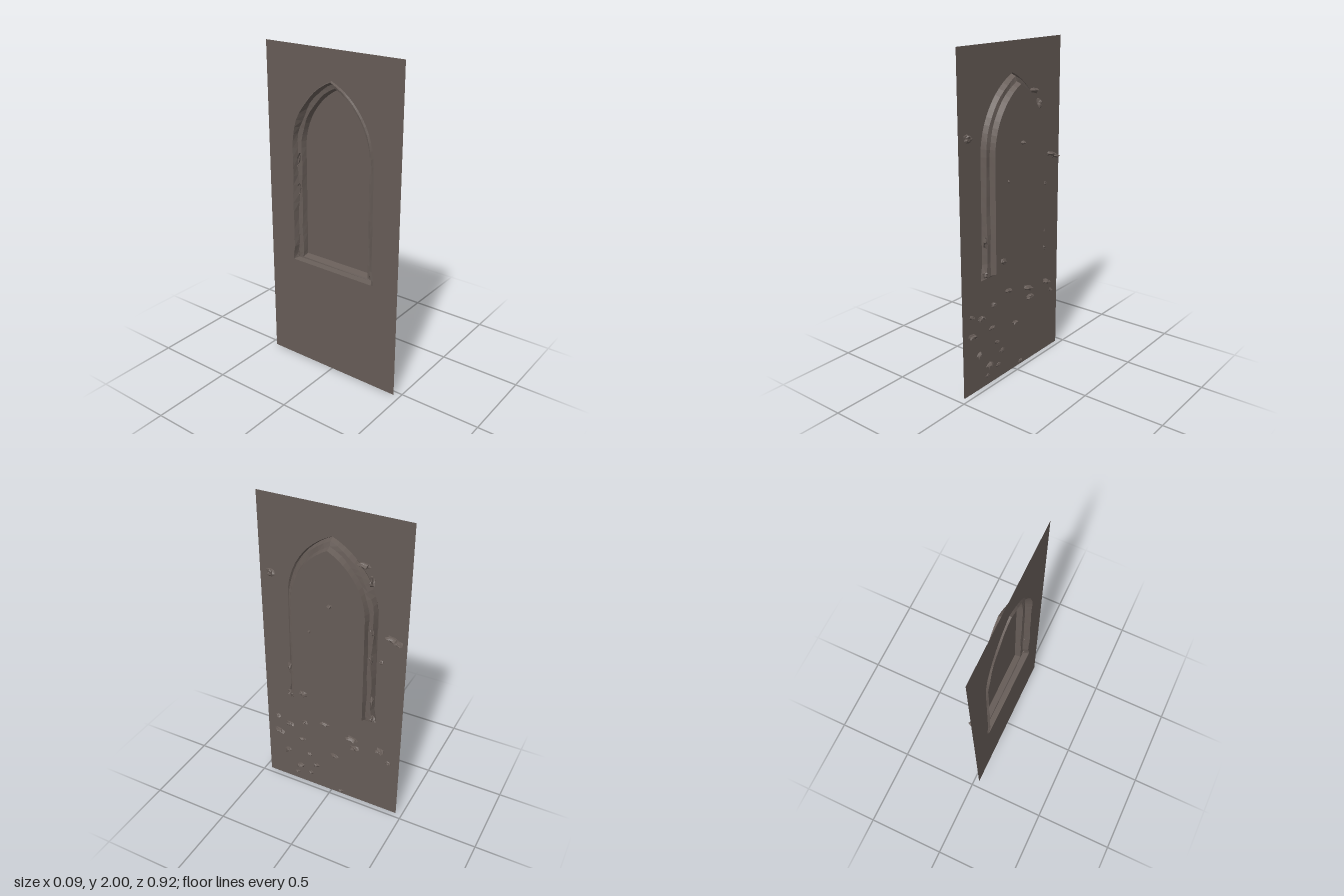
import * as THREE from 'three';

const stone = new THREE.MeshStandardMaterial({ color: 0x665c57, flatShading: true, side: THREE.DoubleSide });
stone.name = 'dark stone';

const WALL = -0.033, FACE = 0.027, SPRING = 1.4;

// Repeatable roughness in -1..1
const rough = (a, b) => Math.sin(a * 12.9 + b * 37.7) * Math.cos(a * 5.3 - b * 17.1);

// Pointed arch outline, from the bottom left corner round to the bottom right
function archOutline(halfWidth, apex, base, wear = 0, foot = 0) {
  const rise = apex - SPRING;
  const r = (halfWidth ** 2 + rise ** 2) / (2 * halfWidth);
  const end = Math.asin(rise / r);
  const side = [[halfWidth + foot, base], [halfWidth + foot, base + 0.03]];
  for (let i = 1; i <= 12; i++) side.push([halfWidth, base + 0.03 + (SPRING - base - 0.03) * i / 12]);
  for (let i = 1; i <= 12; i++) {
    const a = end * i / 12;
    side.push([r * Math.cos(a) - (r - halfWidth), SPRING + r * Math.sin(a)]);
  }
  const left = side.map(([u, v]) => new THREE.Vector2(-u, v));
  // The right jamb is more worn than the left one
  const right = side.slice(0, -1).reverse().map(([u, v], i) =>
    new THREE.Vector2(u + wear * rough(i, halfWidth * 40), v));
  return [...left, ...right];
}

// Rings from the wall opening, over the lip and ledge, to the raised face
const rings = [
  { x: WALL, pts: archOutline(0.283, 1.828, 0.683, 0, 0.012) },
  { x: -0.044, pts: archOutline(0.275, 1.823, 0.688, 0.004, 0.012) },
  { x: -0.010, pts: archOutline(0.262, 1.81, 0.696, 0.007, 0.008) },
  { x: -0.006, pts: archOutline(0.238, 1.782, 0.705, 0.004) },
  { x: FACE, pts: archOutline(0.229, 1.77, 0.718) },
];

// Skin between the rings, closed along the sill
function frameGeometry() {
  const n = rings[0].pts.length, pos = [], index = [];
  rings.forEach(({ x, pts }, k) => pts.forEach((p, i) => {
    const worn = k > 0 && k < rings.length - 1 ? 0.003 * rough(i, k) : 0;
    pos.push(p.x, p.y, x + worn);
  }));
  for (let k = 0; k < rings.length - 1; k++) {
    for (let i = 0; i < n; i++) {
      const j = (i + 1) % n;
      const a = k * n + i, b = k * n + j, c = a + n, d = b + n;
      index.push(a, c, b, b, c, d);
    }
  }
  const g = new THREE.BufferGeometry();
  g.setAttribute('position', new THREE.Float32BufferAttribute(pos, 3));
  g.setIndex(index);
  g.computeVertexNormals();
  return g;
}

// Rough open dome standing on a surface
function chipGeometry(seed) {
  const g = new THREE.SphereGeometry(1, 7, 3, 0, Math.PI * 2, 0, Math.PI / 2);
  g.rotateX(Math.PI / 2);
  const p = g.attributes.position;
  for (let i = 0; i < p.count; i++) {
    const x = p.getX(i), y = p.getY(i), z = p.getZ(i);
    const s = 1 + 0.4 * rough(Math.round(x * 50) / 50 + seed, Math.round(y * 50) / 50 + z);
    p.setXYZ(i, x * s, y * s, z * s);
  }
  g.computeVertexNormals();
  return g;
}

export function createModel() {
  const model = new THREE.Group();
  const panel = new THREE.Group();
  panel.name = 'archedWallPanel';
  panel.rotation.y = Math.PI / 2; // panel faces +x
  model.add(panel);

  const add = (geometry, name, depth = 0) => {
    const mesh = new THREE.Mesh(geometry, stone);
    mesh.name = name;
    mesh.position.z = depth;
    panel.add(mesh);
    return mesh;
  };

  // Wall sheet with the arched opening
  const wall = new THREE.Shape([[-0.46, 0], [0.46, 0], [0.46, 2], [-0.46, 2]].map(p => new THREE.Vector2(...p)));
  wall.holes.push(new THREE.Path(rings[0].pts));
  add(new THREE.ShapeGeometry(wall), 'wall', WALL);

  // Stepped frame and raised face
  add(frameGeometry(), 'archFrame');
  add(new THREE.ShapeGeometry(new THREE.Shape(rings[rings.length - 1].pts)), 'archFace', FACE);

  // Chips: z, y, half width, half height, thickness
  const addChips = (name, depth, list) => list.forEach(([z, y, w, h, t], i) => {
    const chip = add(chipGeometry(i * 1.7 + depth), name, depth);
    chip.position.x = -z;
    chip.position.y = y;
    chip.rotation.z = 0.35 * rough(i, 2);
    chip.scale.set(w, h, t);
  });

  addChips('wallChip', WALL, [
    [-0.19, 1.71, 0.035, 0.018, 0.03], [-0.37, 1.305, 0.04, 0.015, 0.03],
    [-0.41, 1.285, 0.03, 0.015, 0.03], [-0.31, 1.13, 0.015, 0.012, 0.015],
    [0.39, 1.52, 0.03, 0.025, 0.015], [-0.24, 1.62, 0.015, 0.03, 0.025],
  ]);
  addChips('lowerWallChip', WALL, [
    [0.05, 0.545, 0.03, 0.015, 0.02], [-0.14, 0.5, 0.04, 0.018, 0.03],
    [-0.33, 0.48, 0.03, 0.018, 0.03], [-0.16, 0.43, 0.035, 0.015, 0.02],
    [0.19, 0.5, 0.02, 0.015, 0.015], [0.3, 0.45, 0.03, 0.015, 0.015],
    [0.38, 0.365, 0.035, 0.015, 0.02], [-0.02, 0.305, 0.025, 0.012, 0.015],
    [0.32, 0.22, 0.02, 0.02, 0.015], [0.23, 0.12, 0.025, 0.018, 0.02],
    [0.11, 0.17, 0.02, 0.015, 0.012], [0.25, 0.06, 0.015, 0.012, 0.012],
    [0.15, 0.09, 0.018, 0.015, 0.012], [-0.07, 0.025, 0.018, 0.01, 0.012],
    [0.21, 0.36, 0.025, 0.012, 0.015], [0.16, 0.25, 0.022, 0.012, 0.012],
    [0.38, 0.49, 0.025, 0.012, 0.015], [-0.39, 0.4, 0.02, 0.012, 0.012],
  ]);
  addChips('jambChip', -0.02, [
    [0.275, 0.92, 0.015, 0.04, 0.02], [-0.27, 0.85, 0.012, 0.04, 0.02],
    [-0.255, 1.15, 0.012, 0.04, 0.02], [-0.255, 1.33, 0.012, 0.05, 0.02],
    [0.275, 0.72, 0.02, 0.02, 0.02], [-0.275, 0.72, 0.02, 0.02, 0.02],
  ]);
  addChips('faceChip', FACE, [
    [-0.015, 1.44, 0.014, 0.014, 0.02], [0.115, 1.24, 0.007, 0.012, 0.008],
    [0.165, 0.78, 0.025, 0.022, 0.013],
  ]);

  return model;
}
